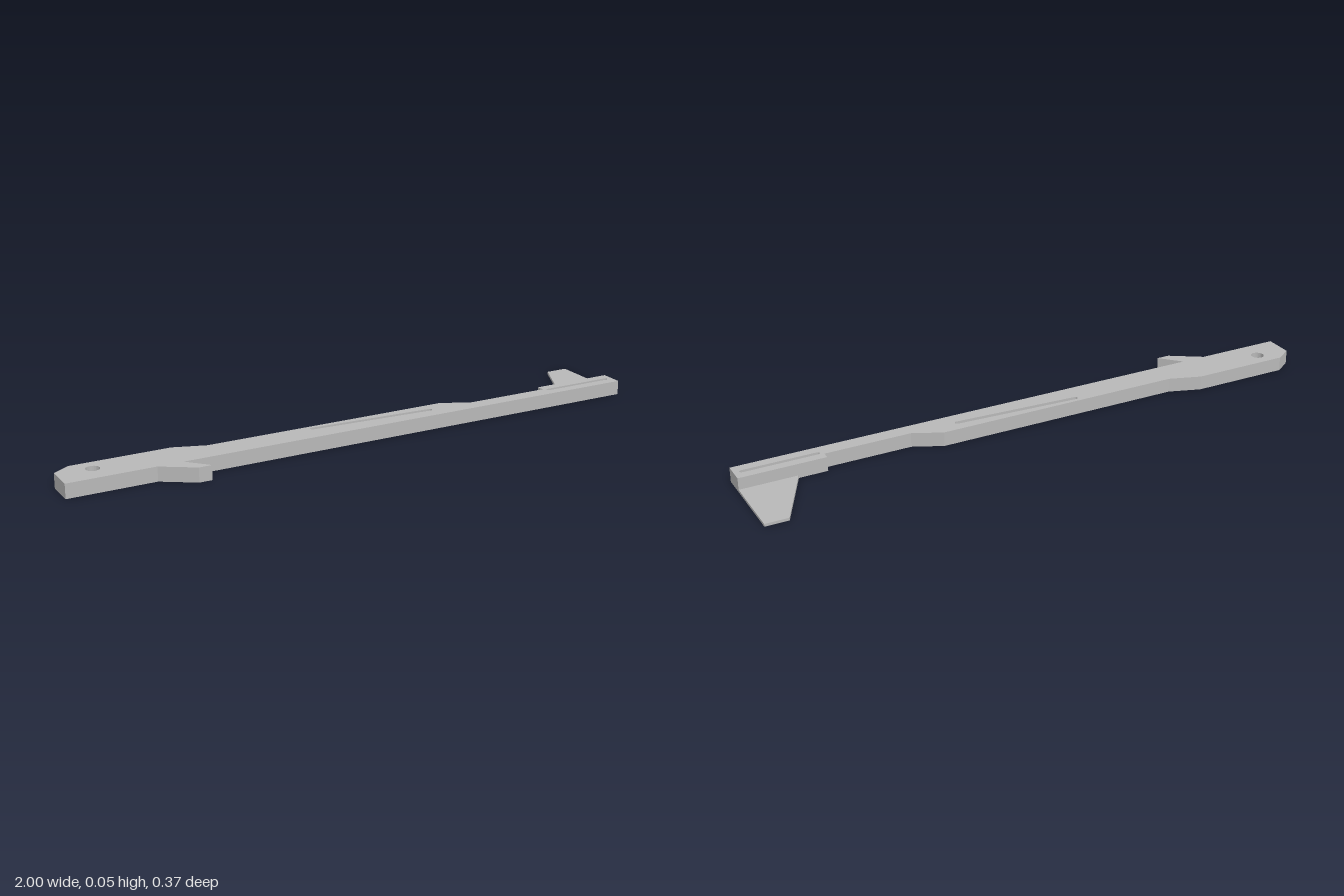
import * as THREE from 'three';

// Shape from plan points [x, z]
const plan = (pts) => new THREE.Shape(pts.map(([x, z]) => new THREE.Vector2(x, -z)));

// Extrude a plan shape upward from y = 0
function slab(name, shape, height, material) {
  const geometry = new THREE.ExtrudeGeometry(shape, { depth: height, bevelEnabled: false, curveSegments: 12 });
  geometry.rotateX(-Math.PI / 2);
  const mesh = new THREE.Mesh(geometry, material);
  mesh.name = name;
  return mesh;
}

// Slot with round ends between two plan points; r is half its width
function slot(x1, z1, x2, z2, r) {
  const a = Math.atan2(z1 - z2, x2 - x1);
  const path = new THREE.Path();
  path.absarc(x2, -z2, r, a - Math.PI / 2, a + Math.PI / 2, false);
  path.absarc(x1, -z1, r, a + Math.PI / 2, a + Math.PI * 1.5, false);
  path.closePath();
  return path;
}

export function createModel() {
  const grey = new THREE.MeshStandardMaterial({ color: 0xb8b8b8 });
  grey.name = 'grey';
  const group = new THREE.Group();
  group.name = 'slottedLever';

  // Long bar with a hook, a stepped back edge and a raised tail block
  const bar = plan([
    [-1, 0.119], [-0.714, 0.119], [-0.61, 0.186], [-0.567, 0.186], [-0.63, 0.119],
    [1, 0.119], [1, 0.043], [0.715, 0.043], [0.715, 0.068], [0.425, 0.068],
    [0.33, 0.023], [-0.51, 0.023], [-0.615, -0.013], [-0.945, -0.013], [-1, 0.023],
  ]);

  // Pivot hole and the two through slots
  const hole = new THREE.Path();
  hole.absarc(-0.887, 0 - 0.041, 0.022, 0, Math.PI * 2, false);
  bar.holes.push(
    hole,
    slot(-0.157, 0.044, 0.264, 0.066, 0.008),
    slot(0.733, 0.08, 0.974, 0.08, 0.007),
  );
  group.add(slab('bar', bar, 0.048, grey));

  // Thin tail fin along the base
  const fin = plan([[0.81, 0.043], [1, 0.043], [1, -0.186], [0.923, -0.186]]);
  group.add(slab('tailFin', fin, 0.009, grey));

  return group;
}
